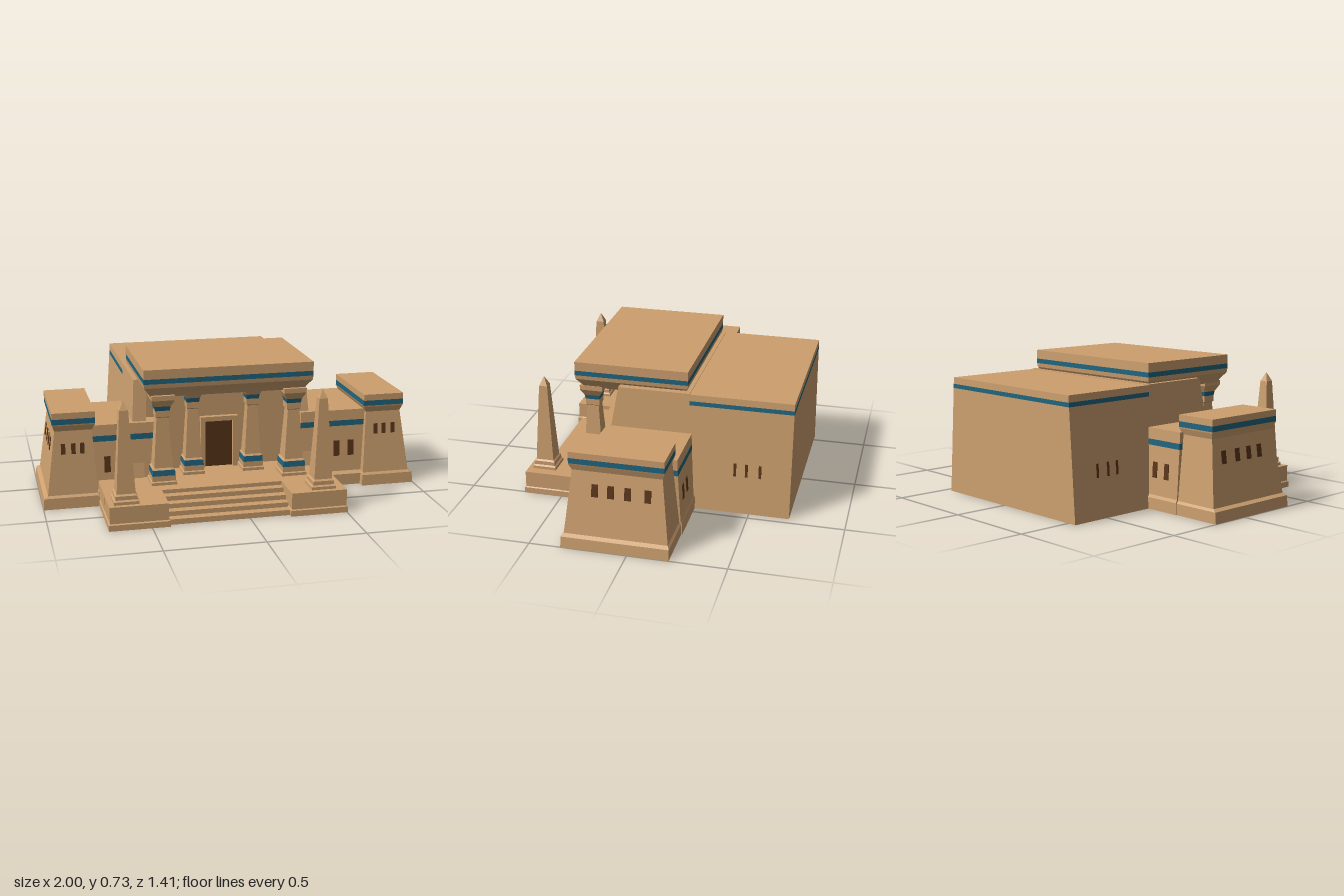
import * as THREE from 'three';

const mat = (name, color) => Object.assign(new THREE.MeshStandardMaterial({ color }), { name });

export function createModel() {
  const root = new THREE.Group();
  root.name = 'temple';
  const sandstone = mat('sandstone', 0xcda06f);
  const blue = mat('blue paint', 0x20657f);
  const dark = mat('dark opening', 0x5a3519);
  const mats = [sandstone, blue];

  // Stack of rectangular sections [y, x0, x1, z0, z1]; segments listed in blues are painted
  function stack(name, levels, blues = [], parent = root) {
    const pos = [];
    const geo = new THREE.BufferGeometry();
    const rings = levels.map(([y, x0, x1, z0, z1]) =>
      [[x0, y, z1], [x1, y, z1], [x1, y, z0], [x0, y, z0]]);
    const quad = (a, b, c, d) => pos.push(...a, ...b, ...c, ...a, ...c, ...d);
    for (let s = 0; s < rings.length - 1; s++) {
      const lo = rings[s], hi = rings[s + 1];
      for (let i = 0; i < 4; i++) {
        const j = (i + 1) % 4;
        quad(lo[i], lo[j], hi[j], hi[i]);
      }
      geo.addGroup(s * 24, 24, blues.includes(s) ? 1 : 0);
    }
    const b = rings[0], t = rings[rings.length - 1];
    quad(b[3], b[2], b[1], b[0]);
    quad(...t);
    geo.addGroup((rings.length - 1) * 24, 12, 0);
    geo.setAttribute('position', new THREE.Float32BufferAttribute(pos, 3));
    geo.computeVertexNormals();
    const mesh = new THREE.Mesh(geo, mats);
    mesh.name = name;
    parent.add(mesh);
    return mesh;
  }

  const block = (name, x0, x1, y0, y1, z0, z1) =>
    stack(name, [[y0, x0, x1, z0, z1], [y1, x0, x1, z0, z1]]);

  // Square tapered shaft from [y, half width] pairs
  const shaft = (name, cx, cz, prof, blues) =>
    stack(name, prof.map(([y, h]) => [y, cx - h, cx + h, cz - h, cz + h]), blues);

  // Thin dark plate lying on a sloped wall
  function plate(name, size, p, rx = 0, rz = 0) {
    const m = new THREE.Mesh(new THREE.BoxGeometry(...size), dark);
    m.name = name;
    m.position.set(...p);
    m.rotation.set(rx, 0, rz);
    root.add(m);
  }

  // Main hall with battered side walls
  const cx = -0.045;
  const half = y => 0.505 - 0.072 * y;
  const hall = (y, z0, z1) => [y, cx - half(y), cx + half(y), z0, z1];
  stack('rearHall', [0, 0.565, 0.587, 0.622].map(y => hall(y, -0.71, -0.175)), [1]);
  stack('frontHall', [0, 0.625].map(y => hall(y, -0.175, 0.17)));
  for (const s of [-1, 1]) {
    // Projecting ends of the side walls
    const end = (y, z1) => {
      const a = cx + s * half(y), b = cx + s * (half(y) - 0.07);
      return [y, Math.min(a, b), Math.max(a, b), 0.16, z1];
    };
    stack('wallEnd', [end(0, 0.31), end(0.625, 0.2)]);
    for (const z of [-0.42, -0.48, -0.55])
      plate('hallWindow', [0.006, 0.07, 0.014], [cx + s * half(0.24), 0.24, z], 0, s * 0.072);
  }

  // Portico roof with flared cornice
  const roof = (y, d) => [y, -0.49 + d, 0.39 - d, -0.16 + d, 0.44 - d];
  stack('porticoRoof', [roof(0.58, 0.04), roof(0.6, 0.028), roof(0.635, 0.003), roof(0.657, 0),
    roof(0.682, 0), roof(0.73, 0)], [3]);

  // Columns: outer pair forward, inner pair near the wall
  const column = [[0.11, 0.066], [0.135, 0.066], [0.14, 0.06], [0.168, 0.06], [0.198, 0.057],
    [0.208, 0.049], [0.47, 0.031], [0.475, 0.037], [0.507, 0.037], [0.53, 0.041], [0.565, 0.06],
    [0.59, 0.06]];
  for (const [x, z, k] of [[-0.39, 0.365, 1], [0.3, 0.365, 1], [-0.207, 0.24, 0.88], [0.113, 0.24, 0.88]])
    shaft('column', x, z, column.map(([y, h]) => [y, h * k]), [3, 8]);

  // Doorway
  block('doorFrameLeft', 0.025, 0.05, 0.11, 0.4, 0.16, 0.2);
  block('doorFrameRight', -0.15, -0.125, 0.11, 0.4, 0.16, 0.2);
  block('doorLintel', -0.125, 0.025, 0.375, 0.4, 0.16, 0.2);
  plate('door', [0.15, 0.26, 0.008], [-0.05, 0.246, 0.173]);

  // Platform, pedestals and stairs
  block('platform', -0.71, 0.5, 0, 0.12, 0.14, 0.5);
  for (const [x0, x1] of [[-0.715, -0.41], [0.205, 0.505]])
    stack('pedestal', [[0, x0, x1, 0.27, 0.705], [0.03, x0, x1, 0.27, 0.705],
      [0.035, x0 + 0.006, x1 - 0.006, 0.27, 0.698], [0.12, x0 + 0.006, x1 - 0.006, 0.27, 0.698]]);
  for (let i = 0; i < 4; i++)
    block('step', -0.415, 0.21, 0, 0.1 - i * 0.024, 0.49, 0.545 + i * 0.045);

  // Obelisks
  for (const x of [-0.62, 0.385])
    shaft('obelisk', x, 0.61, [[0.11, 0.063], [0.135, 0.063], [0.142, 0.055], [0.162, 0.055],
      [0.17, 0.047], [0.585, 0.022], [0.63, 0.001]]);

  // Side wings and end pavilions, mirrored
  const wing = [[0, 0.38, 0.74, -0.215, 0.3], [0.06, 0.38, 0.74, -0.215, 0.3],
    [0.075, 0.38, 0.74, -0.207, 0.283], [0.325, 0.38, 0.74, -0.193, 0.267],
    [0.355, 0.38, 0.74, -0.192, 0.266], [0.412, 0.38, 0.74, -0.19, 0.263]];
  const pavilion = [[0, 0.71, 1, -0.21, 0.338], [0.058, 0.713, 0.995, -0.21, 0.335],
    [0.07, 0.718, 0.975, -0.2, 0.325], [0.4, 0.737, 0.928, -0.165, 0.287],
    [0.43, 0.722, 0.938, -0.176, 0.3], [0.437, 0.72, 0.94, -0.177, 0.301],
    [0.465, 0.72, 0.94, -0.177, 0.301], [0.498, 0.72, 0.94, -0.177, 0.301]];
  for (const s of [-1, 1]) {
    const side = levels => s > 0 ? levels
      : levels.map(([y, x0, x1, z0, z1]) => [y, -x1, -x0, z0, z1]);
    stack('sideWing', side(wing), [3]);
    stack('endPavilion', side(pavilion), [5]);
    for (const x of [0.58, 0.66]) {
      plate('wingWindow', [0.032, 0.085, 0.006], [s * x, 0.203, 0.275], -0.06);
      plate('wingRearWindow', [0.03, 0.08, 0.006], [s * x, 0.203, -0.2], 0.06);
    }
    for (const x of [0.79, 0.835, 0.887])
      plate('pavilionFrontWindow', [0.022, 0.055, 0.006], [s * x, 0.307, 0.298], -0.115);
    for (const z of [0.17, 0.09, 0.005, -0.095])
      plate('pavilionSideWindow', [0.006, 0.065, 0.033], [s * 0.9415, 0.305, z], 0, s * 0.14);
  }
  return root;
}
